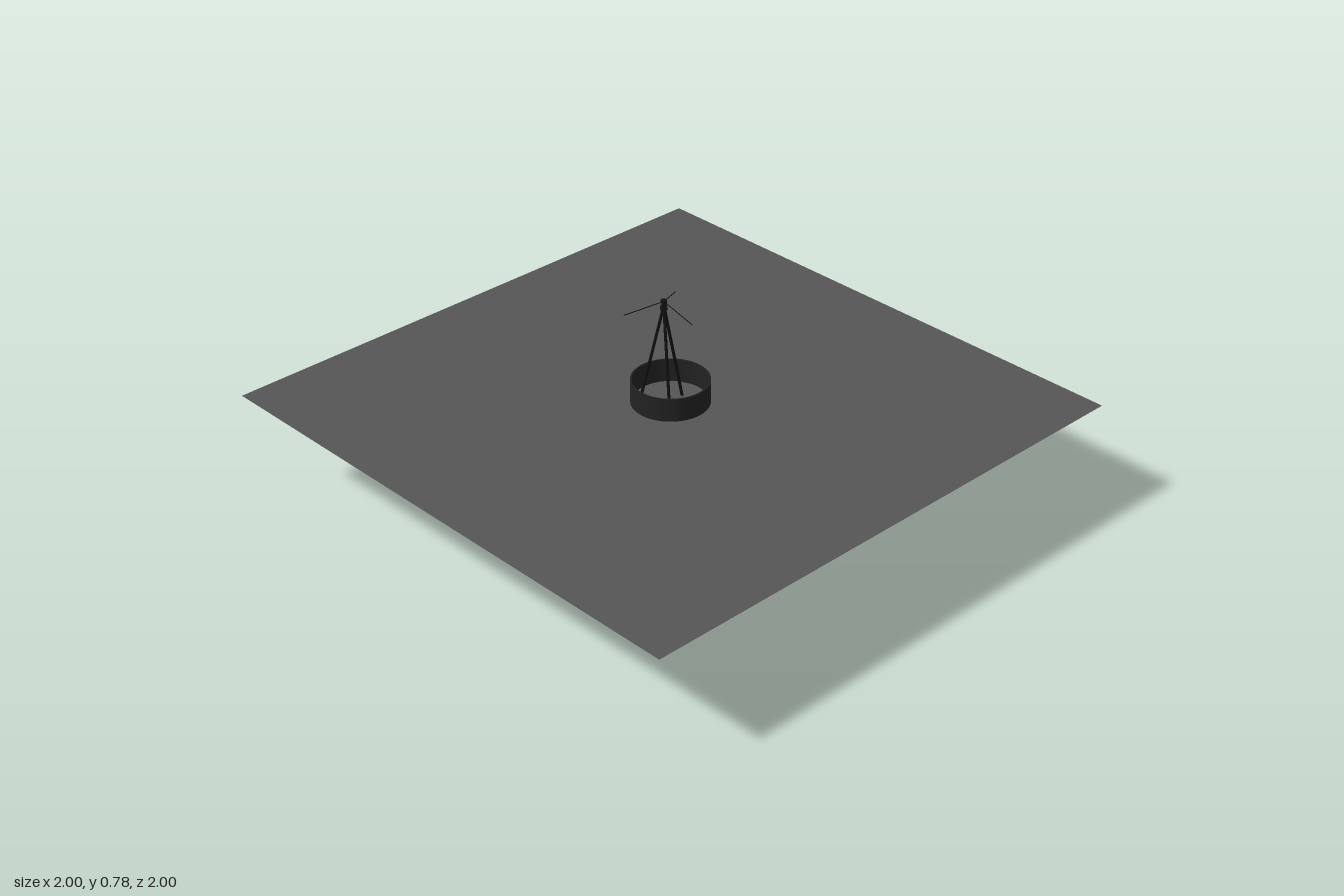
import * as THREE from 'three';

const APEX = new THREE.Vector3(0, 0.76, 0.03);
const UP = new THREE.Vector3(0, 1, 0);

const material = (name, color, side = THREE.FrontSide) =>
  Object.assign(new THREE.MeshStandardMaterial({ color, side }), { name });

// Straight round rod between two points
function rod(name, from, to, radius, sides, mat) {
  const dir = to.clone().sub(from);
  const mesh = new THREE.Mesh(new THREE.CylinderGeometry(radius, radius, dir.length(), sides), mat);
  mesh.position.copy(from).addScaledVector(dir, 0.5);
  mesh.quaternion.setFromUnitVectors(UP, dir.normalize());
  mesh.name = name;
  return mesh;
}

export function createModel() {
  const model = new THREE.Group();
  model.name = 'tripodWithRing';
  const sheetGrey = material('sheetGrey', 0x555555, THREE.DoubleSide);
  const ringBlack = material('ringBlack', 0x222222);
  const metalBlack = material('metalBlack', 0x111111);

  // Flat square sheet, level with the middle of the ring
  const sheet = new THREE.Mesh(new THREE.PlaneGeometry(2, 2), sheetGrey);
  sheet.rotation.x = -Math.PI / 2;
  sheet.position.y = 0.392;
  sheet.name = 'groundSheet';
  model.add(sheet);

  // Open ring with a thin wall; the doubled corners keep its edges sharp
  const outer = 0.133, inner = 0.128, low = 0.308, high = 0.476;
  const corners = [[inner, low], [outer, low], [outer, high], [inner, high], [inner, low]];
  const ring = new THREE.Group();
  ring.name = 'ring';
  for (let i = 0; i < 4; i++) {
    const edge = [corners[i], corners[i + 1]].map(([r, y]) => new THREE.Vector2(r, y));
    const face = new THREE.Mesh(new THREE.LatheGeometry(edge, 64), ringBlack);
    face.name = ['ringBottom', 'ringOutside', 'ringTop', 'ringInside'][i];
    ring.add(face);
  }
  model.add(ring);

  // Three legs and three drooping wires, spread evenly round the apex
  for (let i = 0; i < 3; i++) {
    const a = (i * 2 * Math.PI) / 3;
    const foot = new THREE.Vector3(Math.sin(a) * 0.17, 0, APEX.z - Math.cos(a) * 0.17);
    model.add(rod('leg', foot, APEX, 0.005, 10, metalBlack));

    const hub = new THREE.Vector3(0, 0.775, APEX.z);
    const tip = new THREE.Vector3(Math.cos(a) * 0.132, 0.741, APEX.z + Math.sin(a) * 0.132);
    model.add(rod('wire', hub, tip, 0.0015, 6, metalBlack));
  }

  // Head joining the legs, with a cap and a collar
  for (const [name, radius, y, height] of [
    ['head', 0.008, 0.76, 0.04],
    ['headCap', 0.011, 0.776, 0.008],
    ['headCollar', 0.012, 0.752, 0.012],
  ]) {
    const part = new THREE.Mesh(new THREE.CylinderGeometry(radius, radius, height, 16), metalBlack);
    part.position.set(0, y, APEX.z);
    part.name = name;
    model.add(part);
  }
  return model;
}
